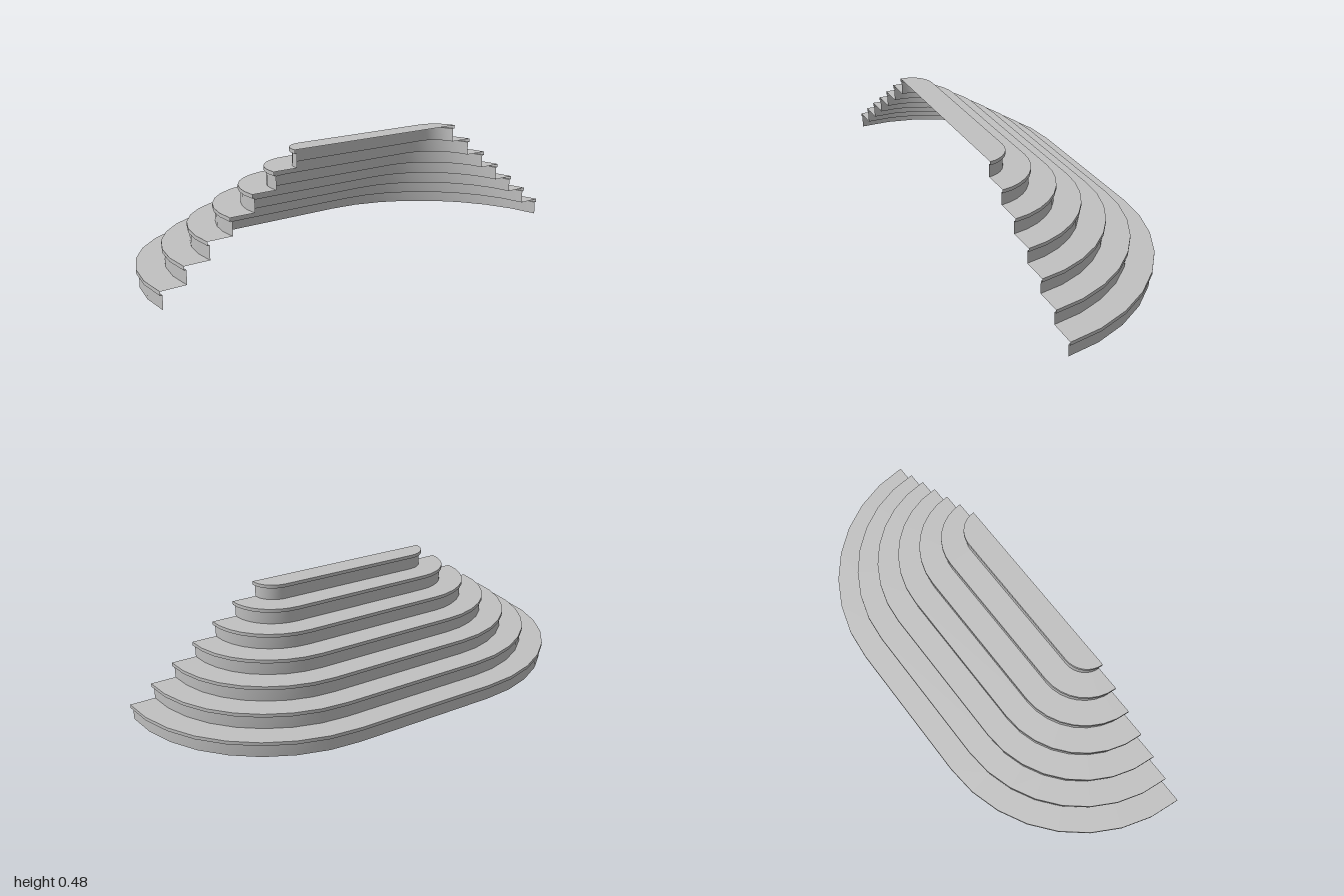
import * as THREE from 'three';

const STEPS = 7, RISE = 0.48 / STEPS, SLAB = 0.0145;
const HALF = 0.32, FRONT = 0.34, SEGS = 8;
const OUTER = 0.68, RUN = 0.096, LIP = 0.01;

// Open outline: quarter arc, straight back, quarter arc
function ring(r, y) {
  const pts = [];
  for (const side of [1, -1]) {
    for (let i = 0; i <= SEGS; i++) {
      const t = ((side > 0 ? i : SEGS - i) / SEGS) * Math.PI / 2;
      pts.push([side * (HALF + r * Math.cos(t)), y, FRONT - r * Math.sin(t)]);
    }
  }
  return pts;
}

// Strip of surface joining two outlines, given as [radius, height]
function strip(a, b) {
  const ra = ring(...a), rb = ring(...b), n = ra.length, index = [];
  for (let i = 0; i < n - 1; i++) {
    index.push(i, i + 1, n + i + 1, i, n + i + 1, n + i);
  }
  const g = new THREE.BufferGeometry();
  g.setAttribute('position', new THREE.Float32BufferAttribute([...ra, ...rb].flat(), 3));
  g.setIndex(index);
  g.computeVertexNormals();
  return g;
}

export function createModel() {
  const stone = new THREE.MeshStandardMaterial({ color: 0xc0c0c0, side: THREE.DoubleSide });
  stone.name = 'grey stone';
  const model = new THREE.Group();
  model.name = 'roundedStaircase';

  for (let i = 0; i < STEPS; i++) {
    const step = new THREE.Group();
    step.name = `step${i + 1}`;
    const edge = OUTER - i * RUN, wall = edge - LIP;
    const base = i * RISE, top = base + RISE, under = top - SLAB;
    // The top tread closes to the front; the others stop at the next riser
    const inner = i === STEPS - 1 ? 0 : edge - RUN - LIP;
    const parts = {
      riser: [[wall, base], [wall, under]],
      nosingUnderside: [[wall, under], [edge, under]],
      nosing: [[edge, under], [edge, top]],
      tread: [[edge, top], [inner, top]],
    };
    for (const [name, [a, b]] of Object.entries(parts)) {
      const mesh = new THREE.Mesh(strip(a, b), stone);
      mesh.name = name;
      step.add(mesh);
    }
    model.add(step);
  }
  return model;
}
